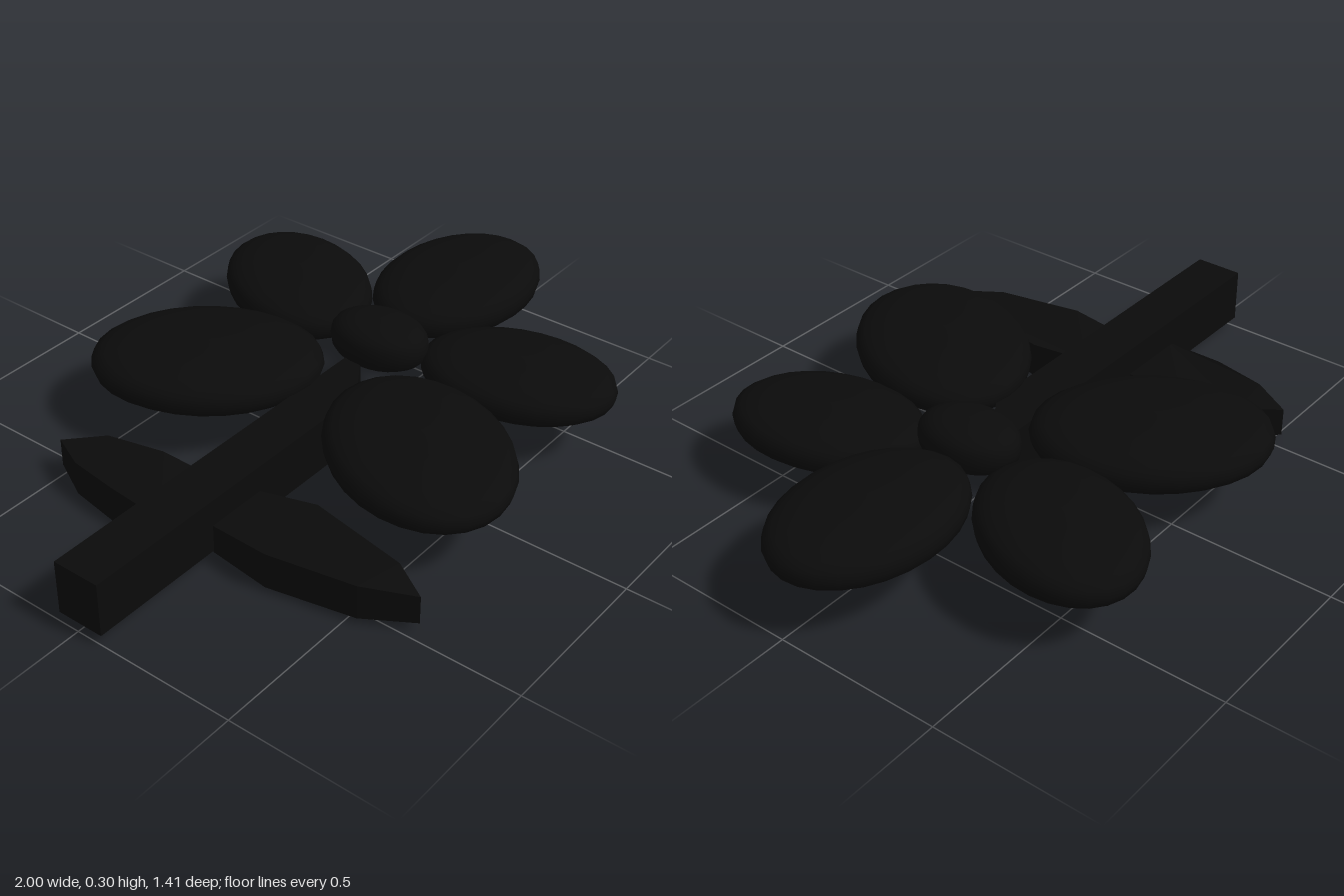
import * as THREE from 'three';

const dark = () => new THREE.MeshStandardMaterial({ color: 0x0b0b0b });

// Puffy unit disc: rounded rim, slightly fuller than a sphere when flattened
function pillowGeometry() {
  const profile = [];
  const steps = 12, power = 2 / 2.6;
  for (let i = 0; i <= steps; i++) {
    const a = -Math.PI / 2 + (Math.PI * i) / steps;
    const r = Math.pow(Math.max(Math.cos(a), 0), power);
    const y = Math.sign(a) * Math.pow(Math.abs(Math.sin(a)), power);
    profile.push(new THREE.Vector2(i === 0 || i === steps ? 0 : r, y));
  }
  return new THREE.LatheGeometry(profile, 28);
}

// Extrude an (x, z) outline downwards from yTop to yBottom
function slab(outline, yBottom, yTop) {
  const shape = new THREE.Shape(outline.map(([x, z]) => new THREE.Vector2(x, z)));
  const geometry = new THREE.ExtrudeGeometry(shape, { depth: yTop - yBottom, bevelEnabled: false });
  geometry.rotateX(Math.PI / 2);
  geometry.translate(0, yTop, 0);
  return geometry;
}

// Leaf slab that is thickest at zMid and thins towards both ends
function leafGeometry(outline, yMid, half, zMid, reach) {
  const geometry = slab(outline, yMid - half, yMid + half);
  const pos = geometry.attributes.position;
  for (let i = 0; i < pos.count; i++) {
    const t = (pos.getZ(i) - zMid) / reach;
    pos.setY(i, yMid + (pos.getY(i) - yMid) * (1 - 0.25 * t * t));
  }
  geometry.computeVertexNormals();
  return geometry;
}

export function createModel() {
  const group = new THREE.Group();
  const add = (name, geometry) => {
    const mesh = new THREE.Mesh(geometry, dark());
    mesh.name = name;
    group.add(mesh);
    return mesh;
  };

  // Petals and flower centre: x, y, z, long radius, half height, short radius, turn in degrees
  const pillow = pillowGeometry();
  const discs = [
    ['petalBackLeft', -0.085, 0.205, -0.365, 0.34, 0.072, 0.255, 55],
    ['petalBackRight', 0.415, 0.203, -0.43, 0.297, 0.072, 0.213, -61],
    ['petalTip', 0.692, 0.222, -0.025, 0.307, 0.073, 0.224, 3],
    ['petalFrontRight', 0.415, 0.196, 0.38, 0.293, 0.066, 0.206, 78],
    ['petalFrontLeft', -0.072, 0.208, 0.38, 0.345, 0.07, 0.252, -57],
    ['flowerCentre', 0.278, 0.235, -0.015, 0.155, 0.07, 0.116, 87],
  ];
  for (const [name, x, y, z, a, h, b, turn] of discs) {
    const mesh = add(name, pillow);
    mesh.position.set(x, y, z);
    mesh.scale.set(a, h, b);
    mesh.rotation.y = -THREE.MathUtils.degToRad(turn);
  }

  // Stem, cut obliquely under the flower
  add('stem', slab([[-1, -0.063], [0.215, -0.063], [0.215, -0.035], [0.04, 0.083], [-1, 0.083]], 0.035, 0.2));

  // Pointed leaves on either side of the stem
  add('leafBack', leafGeometry([
    [-0.635, -0.05], [-0.625, -0.24], [-0.6, -0.4], [-0.54, -0.52],
    [-0.45, -0.42], [-0.415, -0.24], [-0.41, -0.05],
  ], 0.062, 0.058, -0.25, 0.27));
  add('leafFront', leafGeometry([
    [-0.575, 0.08], [-0.59, 0.27], [-0.54, 0.53], [-0.465, 0.673],
    [-0.4, 0.56], [-0.345, 0.25], [-0.385, 0.08],
  ], 0.073, 0.057, 0.37, 0.31));

  return group;
}
